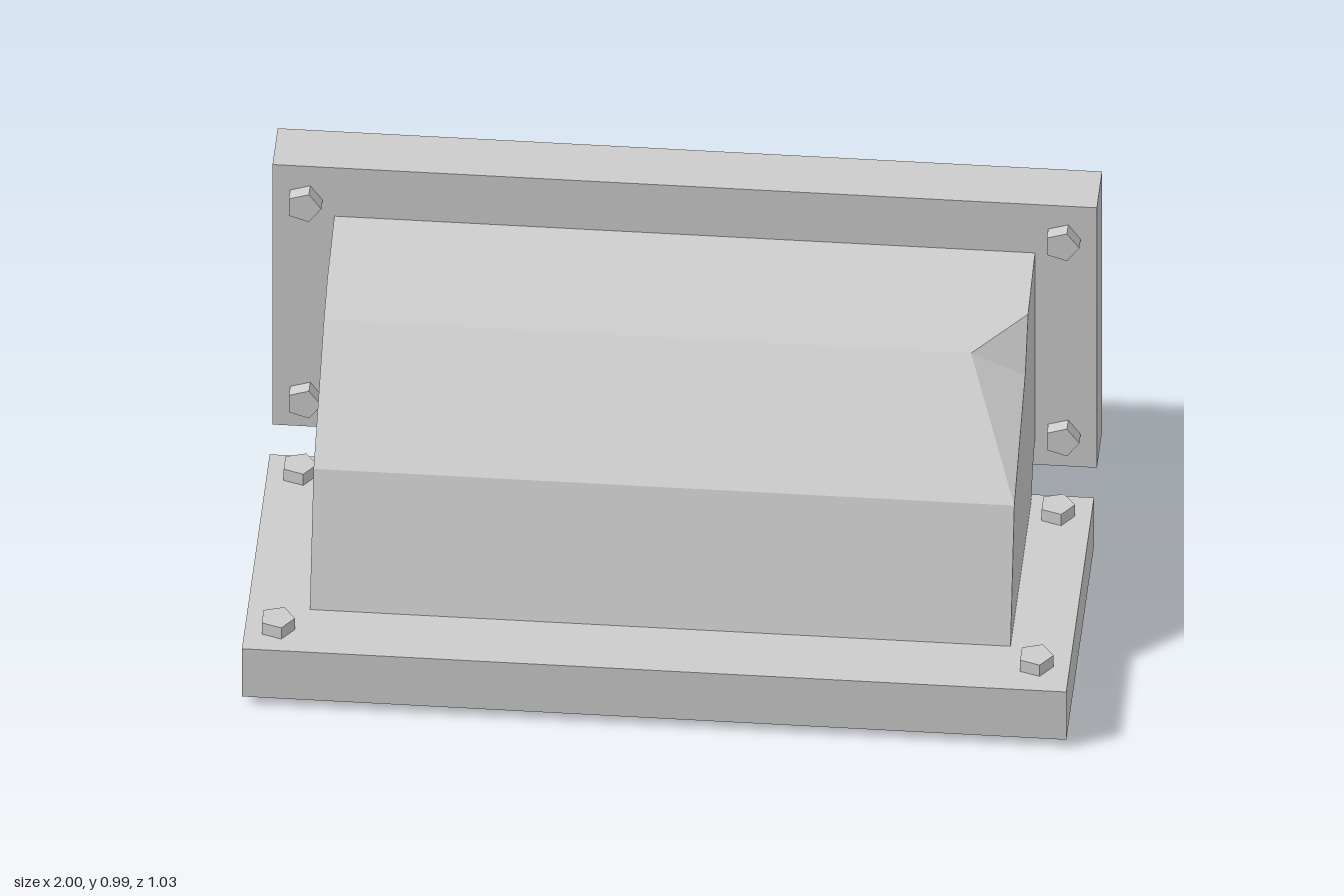
import * as THREE from 'three';

export function createModel() {
  const model = new THREE.Group();
  model.name = 'cornerBracket';
  const grey = new THREE.MeshStandardMaterial({ color: 0xcccccc });
  grey.name = 'light grey';

  function add(name, geometry, x = 0, y = 0, z = 0) {
    const mesh = new THREE.Mesh(geometry, grey);
    mesh.name = name;
    mesh.position.set(x, y, z);
    model.add(mesh);
    return mesh;
  }

  // Mounting plates: one lying flat, one upright behind it
  add('basePlate', new THREE.BoxGeometry(2, 0.145, 0.778), 0, 0.0975, 0.124);
  add('backPlate', new THREE.BoxGeometry(2, 0.79, 0.145), 0, 0.595, -0.4175);

  // Five-sided bolts passing through the plates, one corner pointing to +x
  const bolt = new THREE.CylinderGeometry(0.0435, 0.0435, 0.204, 5).toNonIndexed();
  bolt.rotateY(Math.PI / 2);
  bolt.computeVertexNormals();
  const boltAcross = bolt.clone().rotateX(Math.PI / 2);
  for (const [x, z] of [[-0.922, 0.425], [0.917, 0.415], [-0.922, -0.19], [0.917, -0.188]])
    add('baseBolt', bolt, x, 0.102, z);
  for (const [x, y] of [[-0.922, 0.89], [0.917, 0.892], [-0.922, 0.293], [0.917, 0.299]])
    add('backBolt', boltAcross, x, y, -0.411);

  // Body: (z, y) outline swept along x, with a dented upper corner on the +x end
  const outline = [
    [0.343, 0.17], [0.237, 0.517], [-0.052, 0.752], [-0.15, 0.805],
    [-0.345, 0.843], [-0.345, 0.285], [-0.285, 0.24], [-0.235, 0.17],
  ];
  const n = outline.length;
  const ring = (x) => outline.map(([z, y]) => new THREE.Vector3(x, y, z));
  const left = ring(-0.85);
  const right = ring(0.85);
  const skin = ring(0.85);
  skin[2].x = 0.72;                    // ridge stops short of the end
  right[2].set(0.85, 0.68, -0.07);     // end face drops below the ridge

  const points = [];
  const tri = (a, b, c) => points.push(a, b, c);
  for (let i = 0; i < n; i++) {
    const j = (i + 1) % n;
    tri(left[i], skin[i], skin[j]);
    tri(left[i], skin[j], left[j]);
    // end faces fan out from the inner corner at index 6
    if (i !== 6 && j !== 6) {
      tri(right[6], right[j], right[i]);
      tri(left[6], left[i], left[j]);
    }
  }
  tri(right[1], right[2], skin[2]);
  tri(right[2], right[3], skin[2]);

  const body = new THREE.BufferGeometry().setFromPoints(points);
  body.computeVertexNormals();
  add('body', body);

  return model;
}
